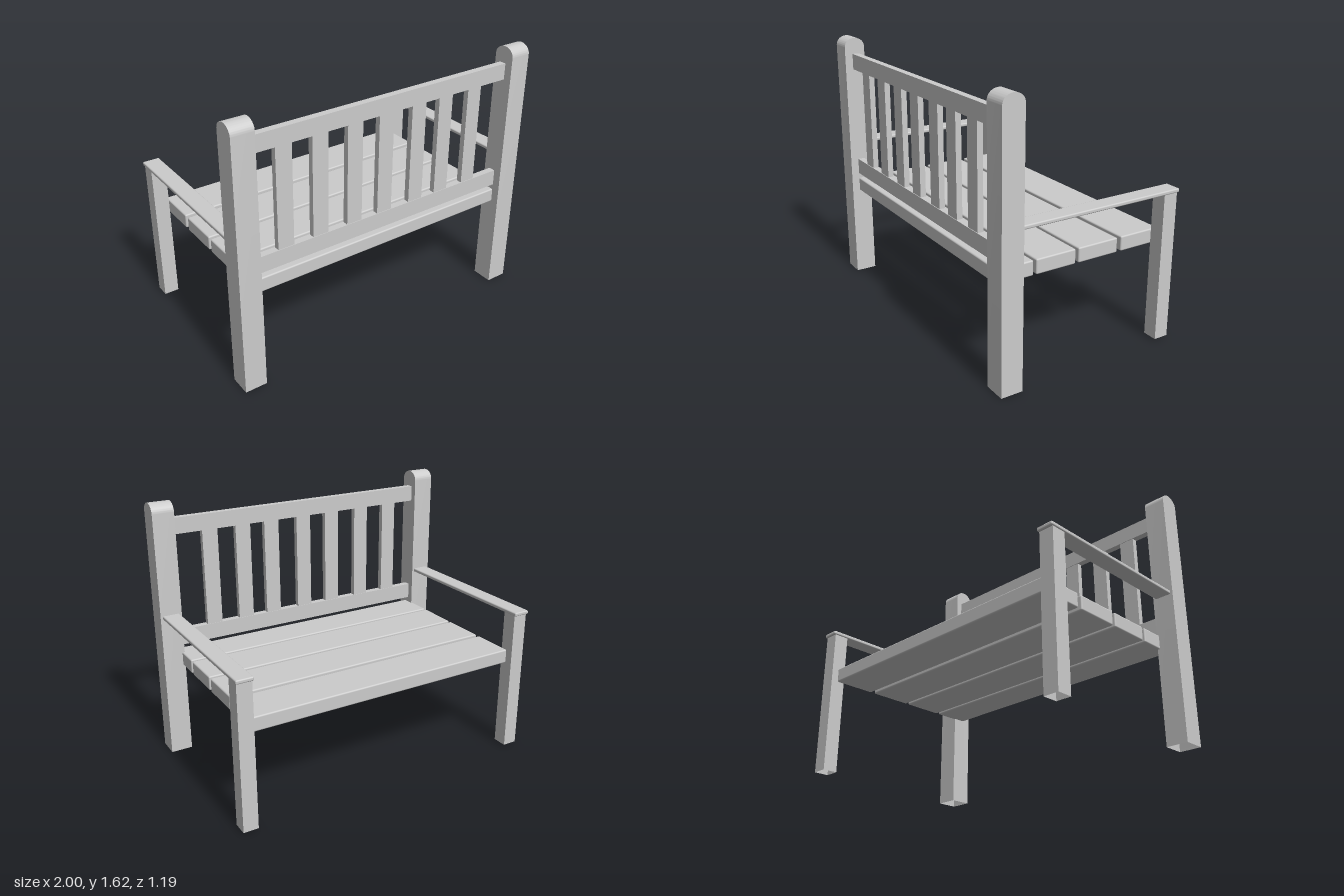
import * as THREE from 'three';
import { toCreasedNormals } from 'three/addons/utils/BufferGeometryUtils.js';
import { RoundedBoxGeometry } from 'three/addons/geometries/RoundedBoxGeometry.js';

const wood = new THREE.MeshStandardMaterial({ color: 0xcccccc });
const hollowWood = new THREE.MeshStandardMaterial({ color: 0xcccccc, side: THREE.DoubleSide });

// Box given by its limits on each axis; a radius softens the edges
function block(name, [x0, x1], [y0, y1], [z0, z1], radius = 0) {
  const size = [x1 - x0, y1 - y0, z1 - z0];
  const geometry = radius
    ? new RoundedBoxGeometry(...size, 2, radius)
    : new THREE.BoxGeometry(...size);
  const mesh = new THREE.Mesh(geometry, wood);
  mesh.name = name;
  mesh.position.set((x0 + x1) / 2, (y0 + y1) / 2, (z0 + z1) / 2);
  return mesh;
}

// Drops the triangles lying on the lowest plane, leaving the foot open
function openBottom(geometry) {
  const flat = geometry.index ? geometry.toNonIndexed() : geometry;
  flat.computeBoundingBox();
  const low = flat.boundingBox.min.y + 1e-4;
  const p = flat.attributes.position;
  const kept = [];
  for (let i = 0; i < p.count; i += 3) {
    if (p.getY(i) < low && p.getY(i + 1) < low && p.getY(i + 2) < low) continue;
    for (let k = i; k < i + 3; k++) kept.push(p.getX(k), p.getY(k), p.getZ(k));
  }
  const result = new THREE.BufferGeometry();
  result.setAttribute('position', new THREE.Float32BufferAttribute(kept, 3));
  return toCreasedNormals(result, 0.6);
}

// Tall back post with a rounded top, outlined from the side
function postGeometry() {
  const half = 0.0665, shoulder = 1.565, width = 0.135;
  const side = new THREE.Shape();
  side.moveTo(-half, 0);
  side.lineTo(half, 0);
  side.lineTo(half, shoulder);
  side.absellipse(0, shoulder, half, 0.057, 0, Math.PI, false);
  side.lineTo(-half, 0);
  const geometry = new THREE.ExtrudeGeometry(side, { depth: width, bevelEnabled: false, curveSegments: 16 });
  geometry.translate(0, 0, -width / 2);
  geometry.rotateY(Math.PI / 2);
  return openBottom(geometry);
}

export function createModel() {
  const bench = new THREE.Group();
  bench.name = 'bench';

  // Posts, front legs and armrests on both sides
  const post = postGeometry();
  const leg = openBottom(new THREE.BoxGeometry(0.092, 0.905, 0.092));
  for (const side of [1, -1]) {
    const label = side > 0 ? 'left' : 'right';

    const postMesh = new THREE.Mesh(post, hollowWood);
    postMesh.name = label + 'BackPost';
    postMesh.position.set(side * 0.9325, 0, 0.531);

    const legMesh = new THREE.Mesh(leg, hollowWood);
    legMesh.name = label + 'FrontLeg';
    legMesh.position.set(side * 0.9325, 0.4625, -0.537);

    const arm = block(label + 'Armrest', [-0.0525, 0.0525], [0.911, 0.935], [-0.597, 0.475], 0.008);
    arm.position.x = side * 0.9325;

    bench.add(postMesh, legMesh, arm);
  }

  // Seat planks, front to back
  const seat = new THREE.Group();
  seat.name = 'seat';
  for (const z of [[-0.546, -0.277], [-0.25, 0.021], [0.041, 0.301], [0.32, 0.547]]) {
    seat.add(block('seatPlank', [-0.88, 0.88], [0.587, 0.676], z, 0.009));
  }

  // Backrest rails and upright slats
  const backrest = new THREE.Group();
  backrest.name = 'backrest';
  backrest.add(block('topRail', [-0.87, 0.87], [1.42, 1.52], [0.504, 0.547]));
  backrest.add(block('lowerRail', [-0.87, 0.87], [0.71, 0.81], [0.504, 0.547]));
  for (const x of [-0.676, -0.452, -0.225, -0.014, 0.216, 0.413, 0.633]) {
    backrest.add(block('backSlat', [x - 0.05, x + 0.05], [0.8, 1.43], [0.508, 0.543]));
  }

  bench.add(seat, backrest);
  return bench;
}
